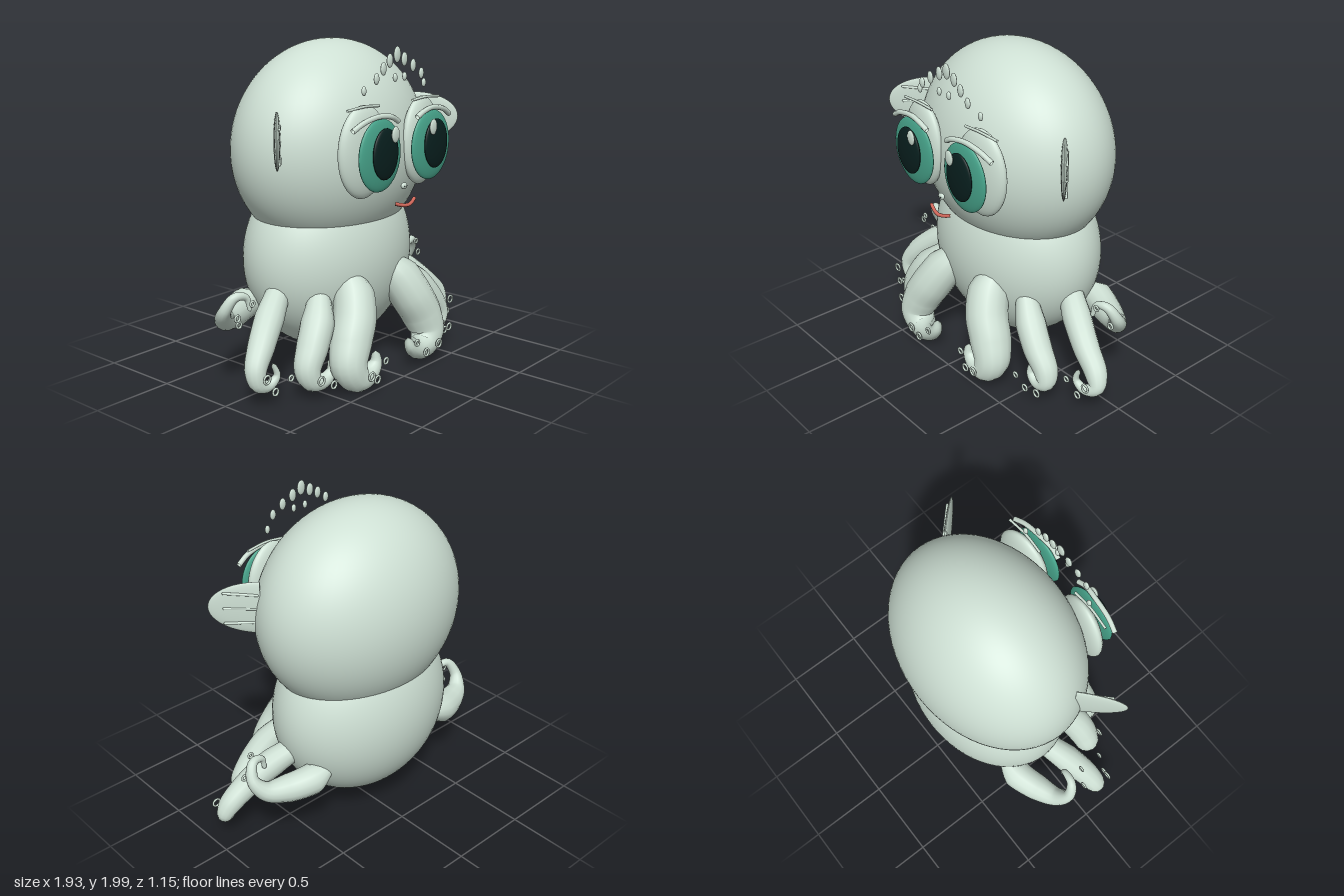
import * as THREE from 'three';

const AXIS = -0.02; // the mirror plane of head and body

export function createModel() {
  const model = new THREE.Group();
  model.name = 'octopus';
  const mat = (name, color, side = THREE.FrontSide) => {
    const m = new THREE.MeshStandardMaterial({ color, side });
    m.name = name;
    return m;
  };
  const skin = mat('pale green skin', 0xcee0d4, THREE.DoubleSide);
  const teal = mat('teal iris', 0x47a48b);
  const black = mat('dark pupil', 0x081f1e);
  const coral = mat('coral mouth', 0xd4695c);

  const add = (name, geo, material, parent = model) => {
    const m = new THREE.Mesh(geo, material);
    m.name = name;
    parent.add(m);
    return m;
  };
  const ellipsoid = (name, p, r, material = skin, seg = 32) => {
    const m = add(name, new THREE.SphereGeometry(1, seg, Math.round(seg * 0.7)), material);
    m.position.set(...p);
    m.scale.set(...r);
    return m;
  };
  const curve = (pts) => new THREE.CatmullRomCurve3(pts.map((p) => new THREE.Vector3(p[0], p[1], p[2])));
  const line = (name, pts, r, material) => add(name, new THREE.TubeGeometry(curve(pts), 24, r, 8), material);

  // Tube whose radius follows the fourth number of each point
  const taperedTube = (name, pts) => {
    const path = curve(pts), N = 48, S = 14;
    const geo = new THREE.TubeGeometry(path, N, 1, S);
    const pos = geo.attributes.position, v = new THREE.Vector3();
    for (let i = 0; i <= N; i++) {
      const c = path.getPointAt(i / N);
      const t = path.getUtoTmapping(i / N) * (pts.length - 1);
      const k = Math.min(Math.floor(t), pts.length - 2);
      const r = i === 0 || i === N ? 0 : THREE.MathUtils.lerp(pts[k][3], pts[k + 1][3], t - k);
      for (let j = 0; j <= S; j++) {
        const n = i * (S + 1) + j;
        v.fromBufferAttribute(pos, n).sub(c).multiplyScalar(r).add(c);
        pos.setXYZ(n, v.x, v.y, v.z);
      }
    }
    add(name, geo, skin);
  };

  // Head and body
  ellipsoid('head', [AXIS, 1.36, -0.07], [0.68, 0.64, 0.505], skin, 64);
  ellipsoid('body', [AXIS, 0.7, -0.084], [0.6, 0.59, 0.446], skin, 64);

  // Eyes, lids and brows
  for (const s of [-1, 1]) {
    const X = (d) => AXIS + s * d;
    ellipsoid('eyeball', [X(0.268), 1.405, 0.41], [0.19, 0.265, 0.062]).rotation.y = s * 0.1;
    ellipsoid('iris', [X(0.238), 1.393, 0.505], [0.184, 0.207, 0.033], teal);
    ellipsoid('pupil', [X(0.237), 1.405, 0.545], [0.11, 0.145, 0.025], black);
    ellipsoid('eyeHighlight', [X(0.178), 1.51, 0.567], [0.033, 0.046, 0.012], skin, 16);
    line('eyelid', [[X(0.45), 1.55, 0.485], [X(0.37), 1.59, 0.5], [X(0.25), 1.612, 0.51],
      [X(0.15), 1.6, 0.52], [X(0.09), 1.57, 0.515]], 0.016, skin);
    line('brow', [[X(0.425), 1.653, 0.425], [X(0.28), 1.664, 0.435], [X(0.155), 1.655, 0.43]], 0.008, skin);
  }

  // Nose with two nostrils, and mouth
  ellipsoid('nose', [AXIS, 1.182, 0.495], [0.026, 0.019, 0.014], skin, 16);
  for (const s of [-1, 1]) ellipsoid('nostril', [AXIS + s * 0.009, 1.182, 0.508], [0.003, 0.003, 0.003], black, 8);
  line('mouth', [[-0.115, 1.094, 0.5], [-0.07, 1.08, 0.515], [AXIS, 1.074, 0.525],
    [0.03, 1.08, 0.515], [0.075, 1.094, 0.5]], 0.011, coral);

  // Forehead spots: distance from the axis, height, depth, size
  for (const [d, y, z, r] of [[0, 1.93, 0.435, 0.03], [0.067, 1.9, 0.435, 0.026], [0.137, 1.86, 0.445, 0.024],
    [0.207, 1.81, 0.452, 0.021], [0.277, 1.747, 0.42, 0.017], [0.044, 1.805, 0.455, 0.016]]) {
    for (const s of d ? [-1, 1] : [1]) ellipsoid('foreheadSpot', [AXIS + s * d, y, z], [r, r * 1.55, 0.012], skin, 14);
  }

  // Ear fins: thin half lenses with ribs on one face
  const finGeo = new THREE.SphereGeometry(1, 24, 24, Math.PI / 2, Math.PI).scale(0.3, 0.162, 0.02);
  for (const [name, x, z, turn] of [['leftEarFin', 0.58, 0.095, -0.76], ['rightEarFin', -0.625, 0.07, Math.PI + 0.76]]) {
    const fin = new THREE.Group();
    fin.name = name;
    fin.position.set(x, 1.475, z);
    fin.rotation.y = turn;
    add('finPlate', finGeo, skin, fin);
    for (const y of [-0.09, 0, 0.09]) {
      const rib = add('finRib', new THREE.CapsuleGeometry(0.008, 0.19, 4, 8), skin, fin);
      rib.position.set(0.11, y, -0.015);
      rib.rotation.z = -Math.PI / 2 + y * 0.6;
    }
    model.add(fin);
  }

  // Tentacles: x, y, z, radius from root to curled tip
  taperedTube('frontRightTentacle', [[-0.21, 0.63, 0.23, 0.07], [-0.25, 0.54, 0.31, 0.125], [-0.31, 0.42, 0.37, 0.13],
    [-0.38, 0.3, 0.4, 0.125], [-0.42, 0.18, 0.42, 0.11], [-0.36, 0.095, 0.43, 0.09], [-0.27, 0.09, 0.44, 0.064],
    [-0.2, 0.14, 0.44, 0.04], [-0.19, 0.21, 0.43, 0.02]]);
  taperedTube('frontLeftTentacle', [[0.15, 0.65, 0.23, 0.07], [0.18, 0.56, 0.31, 0.13], [0.23, 0.44, 0.37, 0.132],
    [0.3, 0.31, 0.4, 0.128], [0.335, 0.19, 0.42, 0.11], [0.29, 0.115, 0.43, 0.088], [0.21, 0.1, 0.44, 0.06],
    [0.14, 0.14, 0.44, 0.038], [0.125, 0.2, 0.43, 0.02]]);
  taperedTube('secondRightTentacle', [[-0.38, 0.56, 0.16, 0.06], [-0.5, 0.42, 0.25, 0.1], [-0.58, 0.3, 0.28, 0.095],
    [-0.63, 0.19, 0.29, 0.08], [-0.6, 0.115, 0.3, 0.064], [-0.52, 0.1, 0.32, 0.045], [-0.46, 0.14, 0.32, 0.03], [-0.46, 0.21, 0.31, 0.016]]);
  taperedTube('secondLeftTentacle', [[0.34, 0.58, 0.16, 0.06], [0.47, 0.44, 0.23, 0.092], [0.57, 0.32, 0.26, 0.088],
    [0.655, 0.21, 0.27, 0.074], [0.66, 0.14, 0.28, 0.055], [0.6, 0.115, 0.29, 0.04], [0.54, 0.15, 0.29, 0.025], [0.54, 0.22, 0.28, 0.014]]);
  taperedTube('thirdRightTentacle', [[-0.52, 0.57, -0.03, 0.07], [-0.69, 0.45, 0.05, 0.088], [-0.82, 0.33, 0.11, 0.08],
    [-0.895, 0.22, 0.14, 0.064], [-0.88, 0.14, 0.15, 0.048], [-0.81, 0.115, 0.16, 0.033], [-0.755, 0.16, 0.17, 0.022], [-0.78, 0.24, 0.16, 0.013]]);
  taperedTube('thirdLeftTentacle', [[0.47, 0.57, -0.08, 0.07], [0.62, 0.47, 0.0, 0.088], [0.77, 0.35, 0.06, 0.08],
    [0.89, 0.24, 0.09, 0.068], [0.915, 0.165, 0.11, 0.048], [0.85, 0.13, 0.14, 0.032], [0.785, 0.17, 0.15, 0.022], [0.8, 0.245, 0.14, 0.013]]);
  for (const [s, name] of [[1, 'backLeftTentacle'], [-1, 'backRightTentacle']]) {
    taperedTube(name, [[0.43, 0.47, -0.27, 0.04], [0.55, 0.45, -0.265, 0.095], [0.7, 0.43, -0.215, 0.085], [0.82, 0.44, -0.16, 0.06],
      [0.87, 0.51, -0.105, 0.038], [0.83, 0.595, -0.06, 0.028], [0.755, 0.58, -0.045, 0.02], [0.73, 0.49, -0.04, 0.012]]
      .map(([x, y, z, r]) => [AXIS + s * x, y, z, r]));
  }

  // Sucker rings: x, y, z, radius
  for (const [x, y, z, r] of [[-0.345, 0.12, 0.53, 0.024], [-0.28, 0.08, 0.52, 0.022], [-0.19, 0.165, 0.51, 0.018],
    [0.3, 0.14, 0.54, 0.024], [0.2, 0.105, 0.52, 0.022], [0.13, 0.18, 0.5, 0.018],
    [-0.635, 0.15, 0.4, 0.024], [-0.54, 0.1, 0.41, 0.021], [0.67, 0.105, 0.36, 0.022], [0.59, 0.11, 0.38, 0.02],
    [0.53, 0.18, 0.4, 0.016], [-0.905, 0.2, 0.24, 0.024], [-0.86, 0.12, 0.26, 0.02], [-0.765, 0.18, 0.29, 0.016],
    [0.91, 0.2, 0.2, 0.024], [0.86, 0.13, 0.21, 0.02], [0.775, 0.2, 0.22, 0.016],
    [-0.82, 0.575, 0.05, 0.015], [-0.9, 0.5, 0.01, 0.018], [-0.85, 0.44, -0.03, 0.018],
    [0.78, 0.6, 0.0, 0.015], [0.86, 0.5, -0.04, 0.018]]) {
    add('sucker', new THREE.TorusGeometry(r, 0.007, 6, 16), skin).position.set(x, y, z);
  }
  return model;
}
